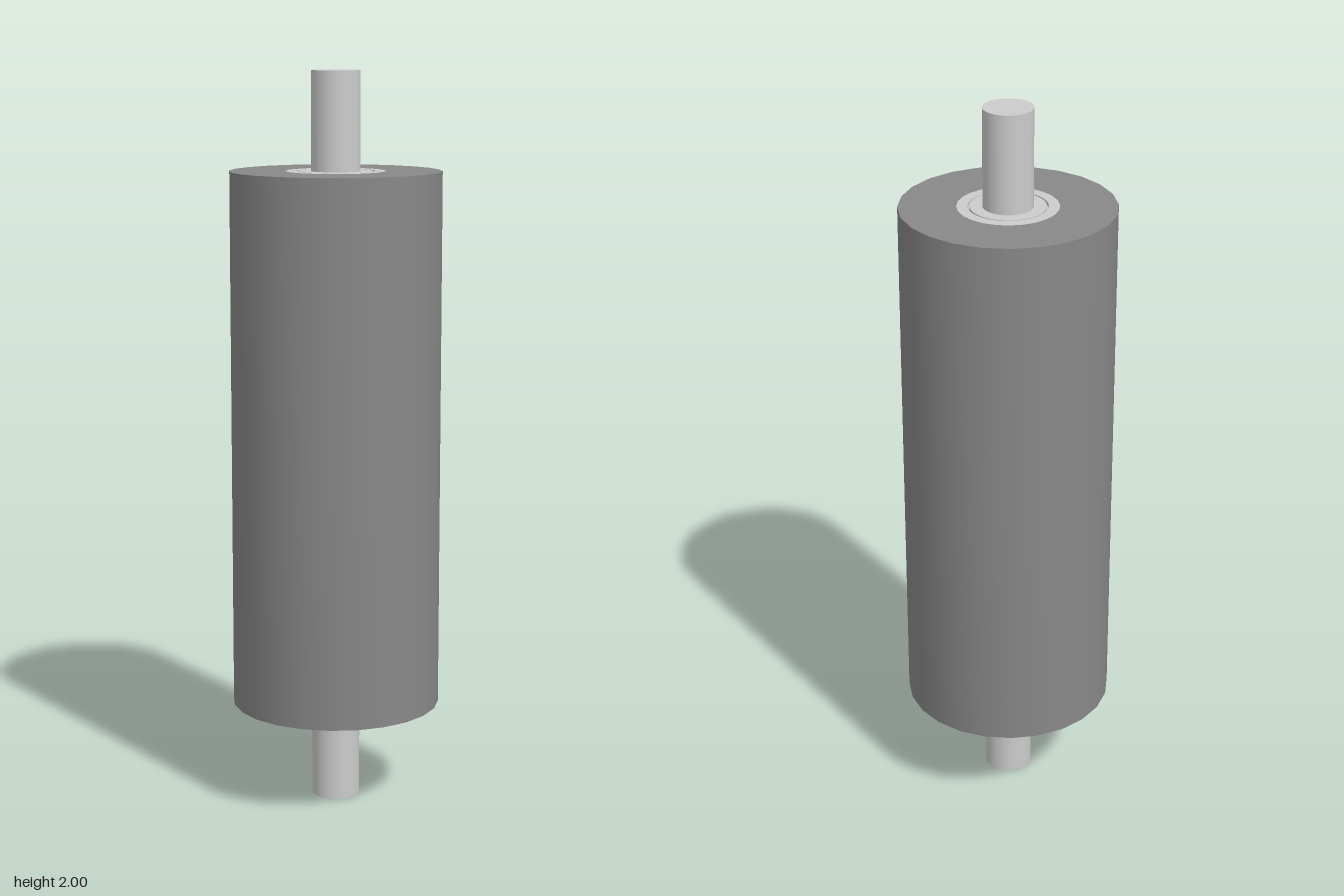
import * as THREE from 'three';
import { toCreasedNormals } from 'three/addons/utils/BufferGeometryUtils.js';

const steel = new THREE.MeshStandardMaterial({ color: 0xcccccc });
const rubber = new THREE.MeshStandardMaterial({ color: 0x888888 });

// Closed ring turned around y; profile runs up the outside and down the inside
function turned(name, profile, sides, material) {
  const points = profile.map(([r, y]) => new THREE.Vector2(r, y));
  points.push(points[0].clone());
  const geometry = toCreasedNormals(new THREE.LatheGeometry(points, sides), 0.6);
  const mesh = new THREE.Mesh(geometry, material);
  mesh.name = name;
  return mesh;
}

const ring = (name, inner, outer, y0, y1, sides, material) =>
  turned(name, [[outer, y0], [outer, y1], [inner, y1], [inner, y0]], sides, material);

export function createModel() {
  const group = new THREE.Group();
  group.name = 'roller';
  const bottom = 0.27, top = 1.735, bearingHeight = 0.14;

  // Hollow roller body
  group.add(ring('rollerBody', 0.134, 0.285, bottom, top, 24, rubber));

  // Axle through the whole roller
  const axle = new THREE.Mesh(new THREE.CylinderGeometry(0.066, 0.066, 2, 48), steel);
  axle.name = 'axle';
  axle.position.y = 1;
  group.add(axle);

  // A bearing in each end: outer race, recessed shield, inner race
  for (const [end, y0] of [['lower', bottom], ['upper', top - bearingHeight]]) {
    const y1 = y0 + bearingHeight;
    const bearing = new THREE.Group();
    bearing.name = end + 'Bearing';
    bearing.add(
      ring('outerRace', 0.105, 0.134, y0, y1, 24, steel),
      ring('shield', 0.098, 0.107, y0 + 0.01, y1 - 0.01, 48, steel),
      ring('innerRace', 0.066, 0.1, y0, y1, 48, steel)
    );
    group.add(bearing);
  }
  return group;
}
